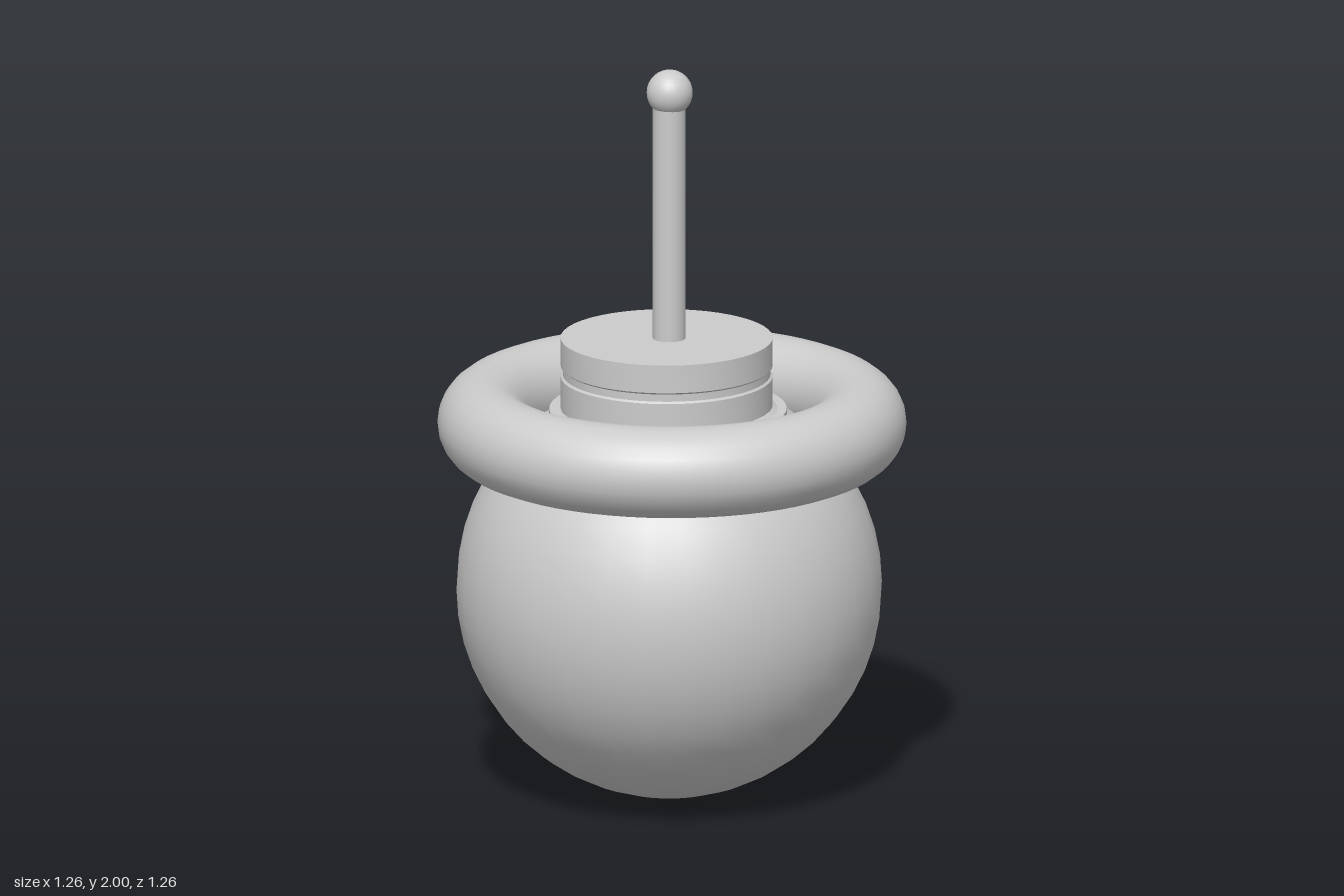
import * as THREE from 'three';
import { toCreasedNormals } from 'three/addons/utils/BufferGeometryUtils.js';

const material = new THREE.MeshStandardMaterial({ color: 0xcccccc });

function add(group, name, geometry, x, y, z) {
  const mesh = new THREE.Mesh(geometry, material);
  mesh.name = name;
  mesh.position.set(x, y, z);
  group.add(mesh);
}

// Sharp-edged turned part from [radius, height] pairs, bottom to top
function turned(points, segments = 48) {
  const profile = points.map(([r, y]) => new THREE.Vector2(r, y));
  return toCreasedNormals(new THREE.LatheGeometry(profile, segments), 0.6);
}

export function createModel() {
  const group = new THREE.Group();
  group.name = 'bouncingBall';

  // Round body
  add(group, 'ballBody', new THREE.SphereGeometry(0.571, 32, 24), -0.012, 0.571, 0.003);

  // Fat ring around the upper body
  const ring = new THREE.TorusGeometry(0.505, 0.123, 24, 64);
  ring.rotateX(Math.PI / 2);
  add(group, 'ring', ring, 0, 1.022, 0);

  // Low flange where the cap meets the body
  add(group, 'capFlange', turned([[0.318, 0.98], [0.318, 1.062], [0, 1.062]]), -0.012, 0, -0.002);

  // Flat cap with a shallow groove in its side
  add(group, 'cap', turned([
    [0.284, 1.0], [0.284, 1.15], [0.278, 1.155], [0.278, 1.175],
    [0.284, 1.18], [0.284, 1.257], [0, 1.257],
  ]), -0.012, 0, -0.008);

  // Upright pole with a round knob
  add(group, 'pole', new THREE.CylinderGeometry(0.044, 0.044, 0.7, 24), -0.01, 1.57, 0);
  add(group, 'knob', new THREE.SphereGeometry(0.062, 24, 16), -0.008, 1.938, 0);

  return group;
}
